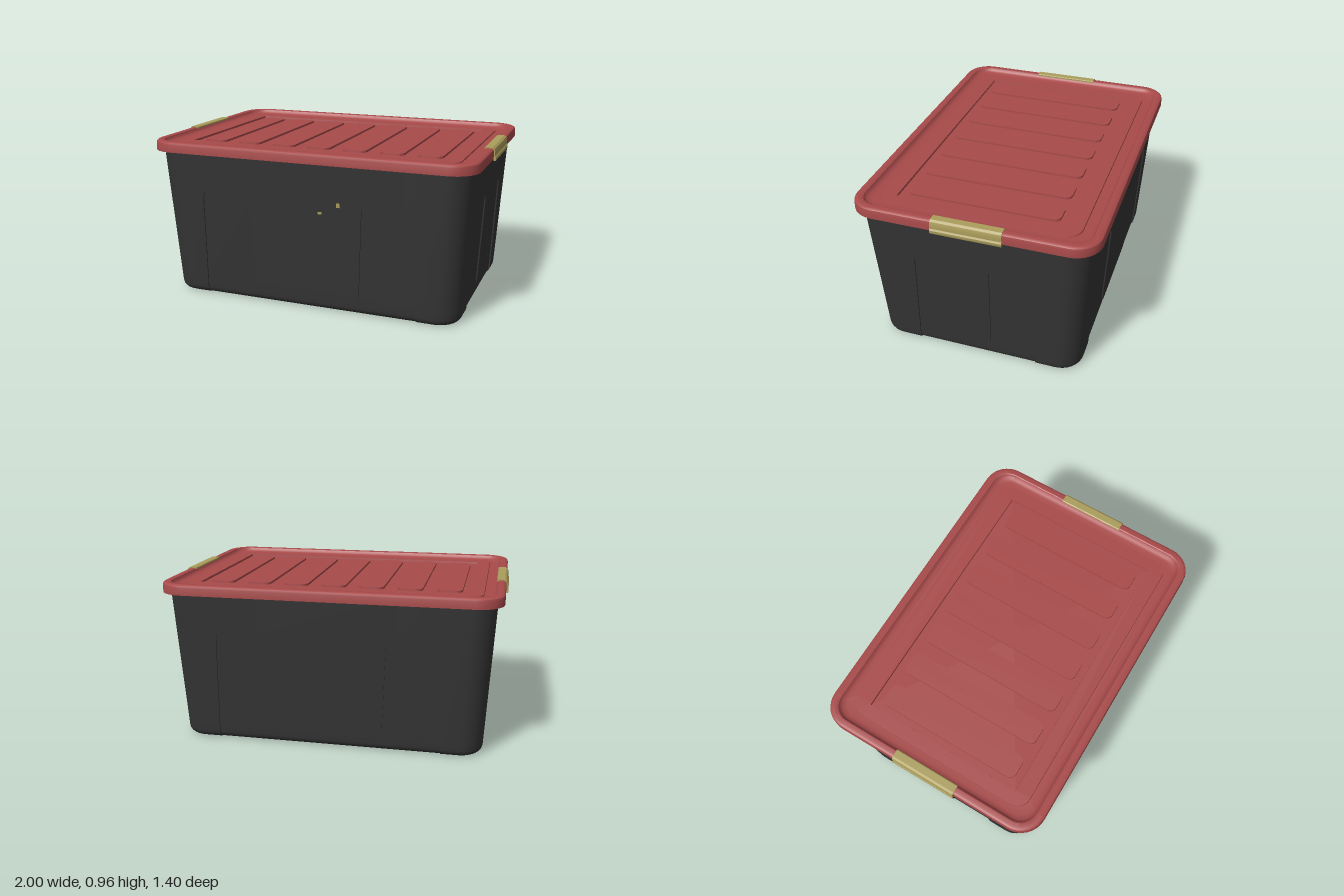
import * as THREE from 'three';
import { toCreasedNormals } from 'three/addons/utils/BufferGeometryUtils.js';

const mat = (name, color) => Object.assign(new THREE.MeshStandardMaterial({ color }), { name });

// Rounded rectangle loop at height y; side(k) may add [u, depth] points along each flat side.
function loop(hx, hz, r, y, side = () => []) {
  const pts = [];
  for (let k = 0; k < 4; k++) {
    const c = [1, 0, -1, 0][k], s = [0, 1, 0, -1][k];
    const a = k % 2 ? hz : hx, b = k % 2 ? hx : hz;
    const add = (n, t) => pts.push(new THREE.Vector3(c * n - s * t, y, s * n + c * t));
    for (const [u, depth] of side(k)) add(a - depth, u);
    for (let i = 0; i <= 8; i++) {
      const q = (i / 8) * Math.PI / 2;
      add(a - r + r * Math.cos(q), b - r + r * Math.sin(q));
    }
  }
  return pts;
}

// Closes a loop onto its centre
const cap = (row) => row.map((p) => new THREE.Vector3(0, p.y, 0));

// Skin over equal-length loops, listed from the bottom up the outside
function loft(rows) {
  const n = rows[0].length, pos = [], idx = [];
  for (const row of rows) for (const p of row) pos.push(p.x, p.y, p.z);
  for (let i = 0; i < rows.length - 1; i++) {
    for (let j = 0; j < n; j++) {
      const a = i * n + j, b = i * n + (j + 1) % n;
      idx.push(a, a + n, b, b, a + n, b + n);
    }
  }
  const g = new THREE.BufferGeometry();
  g.setAttribute('position', new THREE.Float32BufferAttribute(pos, 3));
  g.setIndex(idx);
  return toCreasedNormals(g, 0.5);
}

// Tapered tub with a shallow U-shaped recess on every side
function bodyGeometry() {
  const legTop = 0.675, stripTop = 0.075, round = 0.045, depth = 0.008;
  const row = (y, inset = 0, legDepth = depth, midDepth = 0) => {
    const t = y / legTop;
    const topCut = y > legTop - round
      ? round - Math.sqrt(Math.max(0, round ** 2 - (Math.min(y, legTop) - legTop + round) ** 2)) : 0;
    const low = stripTop + round - y;
    const lowCut = low > 0
      ? round - Math.sqrt(Math.max(0, round ** 2 - Math.min(low, round) ** 2)) : 0;
    const side = (k) => {
      const o = (k % 2 ? 0.665 - 0.015 * t : 0.36 - 0.025 * t) - topCut;
      const i = (k % 2 ? 0.32 + 0.03 * t : 0.088 + 0.012 * t) + topCut - lowCut;
      return [[-o, 0], [-o, legDepth], [-i, legDepth], [-i, midDepth],
        [i, midDepth], [i, legDepth], [o, legDepth], [o, 0]];
    };
    const grow = 0.05 * y / 0.9 - inset;
    return loop(0.9 + grow, 0.61 + grow, 0.135 - inset, y, side);
  };
  const panel = loop(0.79, 0.5, 0.03, 0.005, (k) => {
    const w = k % 2 ? 0.66 : 0.36;
    return [-1, -1, -0.5, -0.5, 0.5, 0.5, 1, 1].map((f) => [f * w, 0]);
  });
  const edge = panel.map((p) => new THREE.Vector3(p.x, 0, p.z));
  const rows = [cap(panel), panel, edge];
  // Rounded bottom edge
  for (let i = 0; i <= 5; i++) {
    const q = (i / 5) * Math.PI / 2, f = 0.04;
    rows.push(row(f * (1 - Math.cos(q)), f * (1 - Math.sin(q)), depth, depth));
  }
  rows.push(row(stripTop, 0, depth, depth));
  for (let i = 0; i <= 5; i++) rows.push(row(stripTop + round * (1 - Math.cos(i * Math.PI / 10))));
  for (let i = 0; i <= 5; i++) rows.push(row(legTop - round + round * Math.sin(i * Math.PI / 10)));
  rows.push(row(legTop, 0, 0), row(0.93, 0, 0));
  return loft(rows);
}

// Lid: hollow skirt, rounded rim, sloping groove, raised platform and sunken panel
function lidGeometry() {
  const rows = [
    [0.945, 0.655, 0.12, 0.935], [0.972, 0.685, 0.14, 0.935], [0.976, 0.69, 0.145, 0.895],
    [0.987, 0.7, 0.15, 0.895], [0.987, 0.7, 0.15, 0.938], [0.984, 0.697, 0.147, 0.948],
    [0.977, 0.69, 0.14, 0.954], [0.968, 0.681, 0.13, 0.956], [0.945, 0.656, 0.11, 0.956],
    [0.94, 0.65, 0.105, 0.953], [0.934, 0.643, 0.1, 0.941], [0.924, 0.632, 0.095, 0.933],
    [0.905, 0.612, 0.09, 0.929], [0.871, 0.578, 0.085, 0.928], [0.869, 0.576, 0.085, 0.936],
    [0.79, 0.485, 0.004, 0.936], [0.788, 0.483, 0.004, 0.924],
  ].map(([hx, hz, r, y]) => loop(hx, hz, r, y));
  rows.push(cap(rows[rows.length - 1]));
  return loft(rows);
}

function ribGeometry() {
  const top = loop(0.0715, 0.439, 0.038, 0.936);
  return loft([loop(0.073, 0.44, 0.04, 0.92), top, cap(top)]);
}

// Clip profile hooked over the lid rim, drawn in x and y
function clipGeometry() {
  const profile = [[0.932, 0.95], [0.998, 0.884], [1.0, 0.888], [1.0, 0.903], [0.994, 0.912],
    [0.994, 0.94], [0.99, 0.953], [0.978, 0.962], [0.937, 0.962], [0.932, 0.958]];
  profile.splice(1, 1, [0.98, 0.95], [0.987, 0.93], [0.987, 0.884], [0.998, 0.884]);
  const shape = new THREE.Shape(profile.map(([x, y]) => new THREE.Vector2(x, y)));
  const g = new THREE.ExtrudeGeometry(shape, { depth: 0.4, bevelEnabled: false });
  return toCreasedNormals(g.translate(0, 0, -0.2), 0.5);
}

export function createModel() {
  const model = new THREE.Group();
  model.name = 'storageBox';
  const charcoal = mat('charcoal plastic', 0x343434);
  const red = mat('red plastic', 0xa84a4a);
  const ochre = mat('ochre plastic', 0xab9d5c);
  const add = (name, geometry, material) => {
    const mesh = new THREE.Mesh(geometry, material);
    mesh.name = name;
    model.add(mesh);
    return mesh;
  };

  add('body', bodyGeometry(), charcoal);
  add('lid', lidGeometry(), red);

  // Seven raised ribs across the lid
  const rib = ribGeometry();
  for (let i = -3; i <= 3; i++) add('lidRib', rib, red).position.x = i * 0.225;

  // Clips at both ends
  const clip = clipGeometry();
  add('leftClip', clip, ochre);
  add('rightClip', clip, ochre).rotation.y = Math.PI;

  // Small flecks on the front wall
  for (const [x, y, w, h] of [[0.1, 0.605, 0.025, 0.014], [0.212, 0.66, 0.022, 0.026]]) {
    const fleck = add('frontFleck', new THREE.BoxGeometry(w, h, 0.004), ochre);
    fleck.position.set(x, y, 0.61 + 0.05 * y / 0.9);
    fleck.rotation.x = Math.atan(0.05 / 0.9);
  }
  return model;
}
